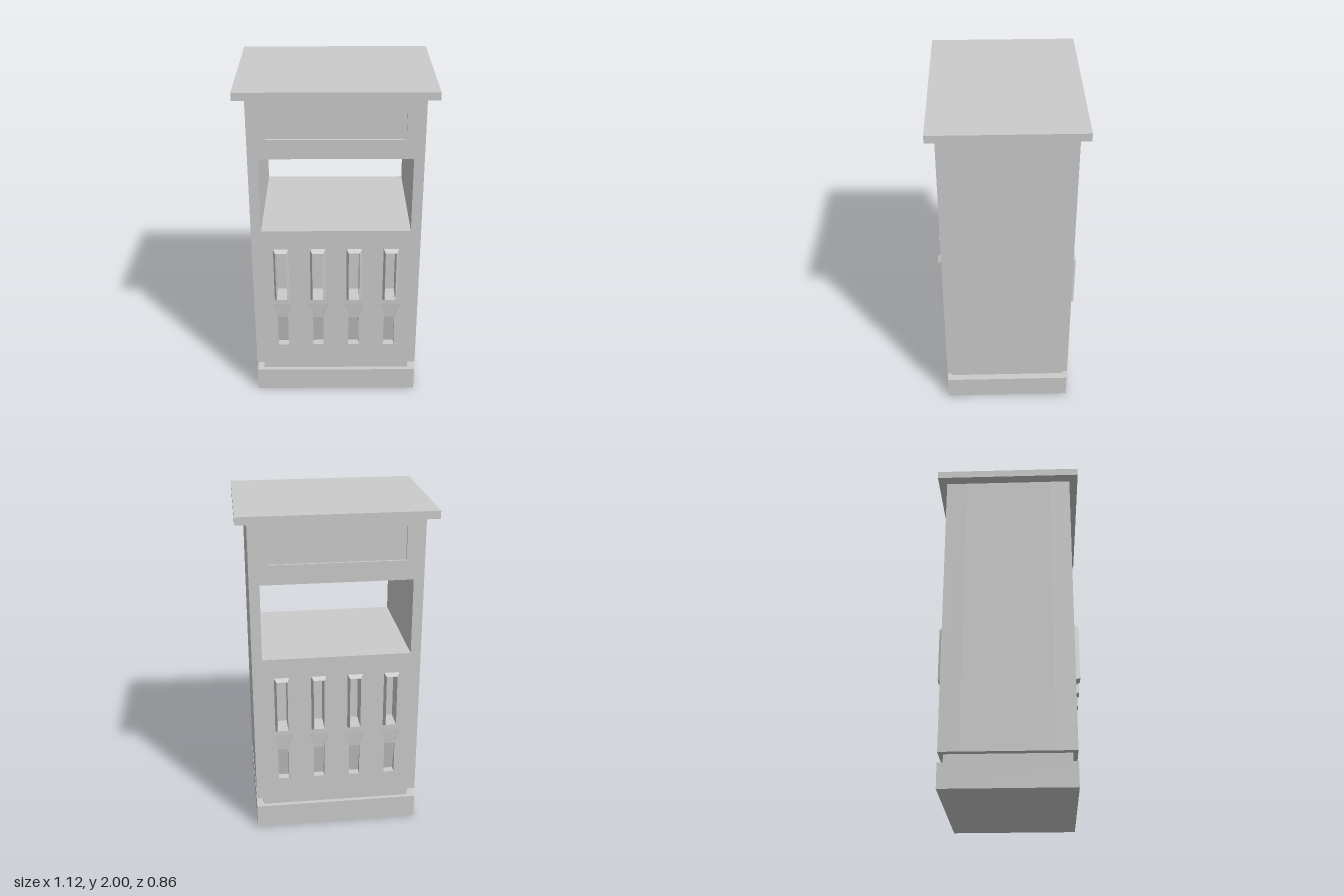
import * as THREE from 'three';

const W = 0.495, D = 0.38, BOTTOM = 0.205, TOP = 1.955;
const PANEL = 0.12; // thickness of the front and back panels
const SLOT_X = [-0.325, -0.108, 0.108, 0.325];

const material = new THREE.MeshStandardMaterial({ color: 0xcccccc, flatShading: true });

function addMesh(parent, name, geometry) {
  const mesh = new THREE.Mesh(geometry, material);
  mesh.name = name;
  parent.add(mesh);
  return mesh;
}

function addBox(parent, name, halfX, y0, y1, z0, z1) {
  const mesh = addMesh(parent, name, new THREE.BoxGeometry(halfX * 2, y1 - y0, z1 - z0));
  mesh.position.set(0, (y0 + y1) / 2, (z0 + z1) / 2);
  return mesh;
}

const toPath = (Type, points) => new Type(points.map(([x, y]) => new THREE.Vector2(x, y)));
const rect = (cx, halfX, y0, y1) => [[cx - halfX, y0], [cx + halfX, y0], [cx + halfX, y1], [cx - halfX, y1]];

function extrude(outline, holes, depth) {
  const shape = toPath(THREE.Shape, outline);
  shape.holes = holes.map((points) => toPath(THREE.Path, points));
  return new THREE.ExtrudeGeometry(shape, { depth, bevelEnabled: false });
}

// Bevelled rim and lined pocket: rectangular rings [halfX, halfY, z] joined, closed at the back
function pocketGeometry() {
  const rings = [
    [0.045, 0.175, D], [0.033, 0.161, 0.41], [0.031, 0.159, 0.41], [0.031, 0.159, D - 0.1],
  ];
  const positions = [], index = [];
  for (const [hx, hy, z] of rings) {
    positions.push(-hx, -hy, z, hx, -hy, z, hx, hy, z, -hx, hy, z);
  }
  for (let r = 0; r < rings.length - 1; r++) {
    for (let i = 0; i < 4; i++) {
      const a = r * 4 + i, b = r * 4 + (i + 1) % 4;
      index.push(a, b, b + 4, a, b + 4, a + 4);
    }
  }
  const last = (rings.length - 1) * 4;
  index.push(last, last + 1, last + 2, last, last + 2, last + 3);
  const geometry = new THREE.BufferGeometry();
  geometry.setAttribute('position', new THREE.Float32BufferAttribute(positions, 3));
  geometry.setIndex(index);
  const flat = geometry.toNonIndexed();
  flat.computeVertexNormals();
  return flat;
}

// Outline of a groove: straight slot below, flaring out above
const groove = (cx) => [
  [-0.032, 0.34], [0.032, 0.34], [0.032, 0.56], [0.062, 0.64], [-0.062, 0.64], [-0.032, 0.56],
].map(([x, y]) => [cx + x, y]);

// Sloping floor of a groove, deepest at the bottom
function grooveFloorGeometry() {
  const width = 0.14;
  const profile = [[-D + 0.05, 0.33], [-D + 0.006, 0.54], [-D, 0.64], [-D + PANEL, 0.64], [-D + PANEL, 0.33]];
  const geometry = extrude(profile, [], width);
  geometry.translate(0, 0, -width / 2);
  geometry.rotateY(Math.PI / 2);
  return geometry;
}

function createFace() {
  const face = new THREE.Group();
  const holes = [
    rect(0, 0.435, 1.14, 1.595),
    rect(0, 0.39, 1.71, 1.91),
    ...SLOT_X.map((x) => rect(x, 0.043, 0.673, 1.017)),
    ...SLOT_X.map(groove),
  ];
  const panel = addMesh(face, 'facePanel', extrude(rect(0, W, BOTTOM, TOP), holes, PANEL));
  panel.position.z = D - PANEL;
  // Shallow recess for the header sign
  addBox(face, 'signPanel', 0.39, 1.71, 1.91, D - PANEL, D - 0.013);
  const pocket = pocketGeometry();
  const floor = grooveFloorGeometry();
  for (const x of SLOT_X) {
    addMesh(face, 'holderPocket', pocket).position.set(x, 0.845, 0);
    addMesh(face, 'grooveFloor', floor).position.x = x;
  }
  return face;
}

export function createModel() {
  const model = new THREE.Group();
  model.name = 'dispenserCabinet';

  addBox(model, 'plinth', W, 0, 0.145, -D, D);
  addBox(model, 'plinthNeck', 0.453, 0.145, BOTTOM, -0.353, 0.353);
  addBox(model, 'topSlab', 0.56, TOP, 2, -0.43, 0.43);

  // Middle of the cabinet with the through opening
  const depth = 2 * (D - PANEL);
  const core = addMesh(model, 'cabinetCore',
    extrude(rect(0, W, BOTTOM, TOP), [rect(0, 0.435, 1.14, 1.595)], depth));
  core.position.z = -depth / 2;

  // Matching front and back faces
  const front = createFace();
  front.name = 'frontFace';
  const back = createFace();
  back.name = 'backFace';
  back.rotation.y = Math.PI;
  model.add(front, back);

  return model;
}
